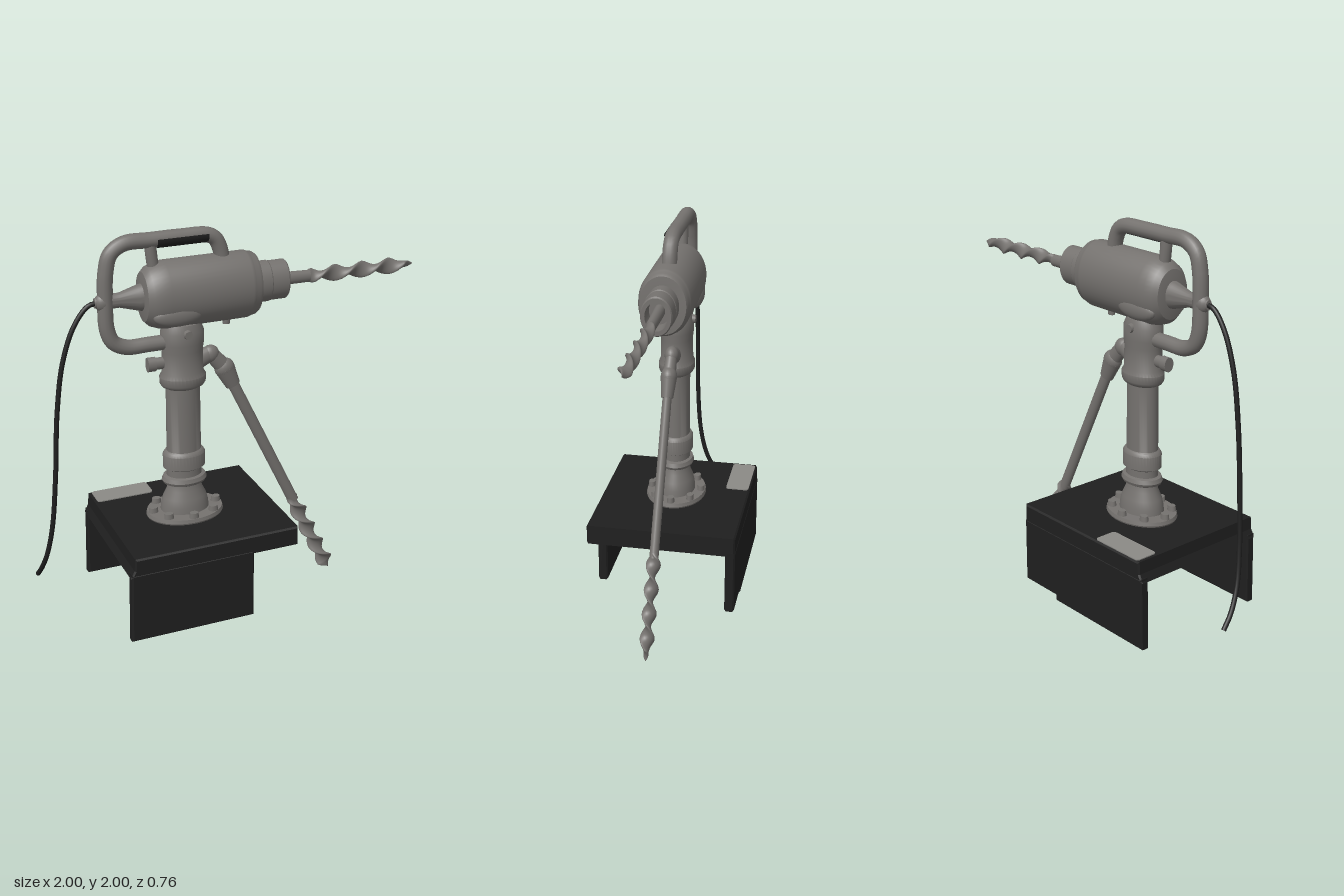
import * as THREE from 'three';
import { toCreasedNormals, mergeVertices } from 'three/addons/utils/BufferGeometryUtils.js';

const V = (x, y, z = 0) => new THREE.Vector3(x, y, z);
const SQUASH = 0.78; // the machine is narrower in depth than in width

export function createModel() {
  const metal = new THREE.MeshStandardMaterial({ color: 0x75726f });
  metal.name = 'grey metal';
  const black = new THREE.MeshStandardMaterial({ color: 0x1f1f1f, side: THREE.DoubleSide });
  black.name = 'black';
  const pale = new THREE.MeshStandardMaterial({ color: 0x8b8a86 });
  pale.name = 'pale plate';

  const model = new THREE.Group();
  model.name = 'drillOnStand';
  const machine = new THREE.Group();
  machine.name = 'machine';
  machine.scale.z = SQUASH;
  model.add(machine);

  const add = (parent, name, geo, mat = metal) => {
    const mesh = new THREE.Mesh(geo, mat);
    mesh.name = name;
    parent.add(mesh);
    return mesh;
  };
  const lathe = (pts) => toCreasedNormals(
    new THREE.LatheGeometry(pts.map(([r, y]) => new THREE.Vector2(r, y)), 40), 0.6);
  // Lay a part built along +y between two points
  const aim = (mesh, from, to) => {
    mesh.position.copy(from);
    mesh.quaternion.setFromUnitVectors(V(0, 1), to.clone().sub(from).normalize());
    return mesh;
  };
  const rod = (parent, name, from, to, r0, r1 = r0, mat = metal) => {
    const len = from.distanceTo(to);
    const geo = new THREE.CylinderGeometry(r1, r0, len, 24).translate(0, len / 2, 0);
    return aim(add(parent, name, geo, mat), from, to);
  };
  const tube = (parent, name, pts, r, mat = metal, tension = 0.5) => {
    const curve = new THREE.CatmullRomCurve3(pts, false, 'centripetal', tension);
    return add(parent, name, new THREE.TubeGeometry(curve, 90, r, 14), mat);
  };
  // Flat oval bar twisted along its length, ending in a swollen point
  const twistBit = (name, from, to, halfTurns, wide) => {
    const len = from.distanceTo(to);
    let geo = new THREE.CylinderGeometry(1, 1, len, 20, 110).translate(0, len / 2, 0);
    geo.deleteAttribute('uv');
    geo.deleteAttribute('normal');
    geo = mergeVertices(geo);
    const p = geo.attributes.position;
    for (let i = 0; i < p.count; i++) {
      const t = p.getY(i) / len;
      const start = THREE.MathUtils.smoothstep(t, 0, 0.08);
      const tip = Math.min(1, Math.max(0.03, (1 - t) / 0.1));
      const u = p.getX(i) * THREE.MathUtils.lerp(0.028, wide, start) * tip;
      const v = p.getZ(i) * THREE.MathUtils.lerp(0.028, 0.018, start) * tip;
      const a = halfTurns * Math.PI * t, c = Math.cos(a), s = Math.sin(a);
      p.setX(i, u * c - v * s);
      p.setZ(i, u * s + v * c);
    }
    geo.computeVertexNormals();
    return aim(add(machine, name, geo), from, to);
  };

  // Base: lid with a short front panel and a stepped back panel
  const base = new THREE.Group();
  base.name = 'base';
  model.add(base);
  const panel = (name, pts, depth, z) => {
    const shape = new THREE.Shape(pts.map(([x, y]) => new THREE.Vector2(x, y)));
    const geo = new THREE.ExtrudeGeometry(shape, { depth: depth - 0.016, bevelThickness: 0.008,
      bevelSize: 0.008, bevelOffset: -0.008, bevelSegments: 1 }).translate(0, 0, z + 0.008);
    return add(base, name, geo, black);
  };
  panel('lid', [[-0.67, 0.42], [0.21, 0.42], [0.208, 0.522], [-0.645, 0.522], [-0.65, 0.46]], 0.76, -0.38);
  panel('frontPanel', [[-0.675, 0.07], [-0.03, 0.07], [-0.03, 0.44], [-0.665, 0.44]], 0.05, 0.332);
  panel('backPanel', [[-0.675, 0.07], [-0.03, 0.07], [-0.03, 0.1], [0.21, 0.1], [0.21, 0.44], [-0.665, 0.44]],
    0.05, -0.382);

  // Rounded pale plate on the lid
  const label = new THREE.Shape();
  const w = 0.15, h = 0.06, c = 0.02;
  label.moveTo(-w + c, -h).lineTo(w - c, -h).quadraticCurveTo(w, -h, w, -h + c);
  label.lineTo(w, h - c).quadraticCurveTo(w, h, w - c, h).lineTo(-w + c, h);
  label.quadraticCurveTo(-w, h, -w, h - c).lineTo(-w, -h + c).quadraticCurveTo(-w, -h, -w + c, -h);
  const plate = add(base, 'lidPlate', new THREE.ExtrudeGeometry(label, { depth: 0.006, bevelEnabled: false }), pale);
  plate.rotation.x = -Math.PI / 2;
  plate.position.set(-0.48, 0.521, -0.312);

  // Column with flange, rings and swivel head
  const column = add(machine, 'column', lathe([
    [0, 0.52], [0.195, 0.52], [0.2, 0.53], [0.195, 0.548], [0.125, 0.55], [0.122, 0.58], [0.112, 0.62],
    [0.092, 0.66], [0.085, 0.69], [0.108, 0.7], [0.116, 0.715], [0.108, 0.735], [0.09, 0.74], [0.09, 0.775],
    [0.108, 0.785], [0.108, 0.855], [0.098, 0.87], [0.088, 0.875], [0.086, 1.21], [0.105, 1.22], [0.115, 1.235],
    [0.117, 1.27], [0.105, 1.29], [0.102, 1.4], [0.108, 1.44], [0.108, 1.5], [0.09, 1.54], [0, 1.56],
  ]));
  column.position.x = -0.25;
  for (let i = 0; i < 8; i++) {
    const a = (i / 8) * Math.PI * 2;
    const p = V(-0.25 + Math.cos(a) * 0.168, 0.54, Math.sin(a) * 0.168);
    rod(machine, 'flangeBolt', p, p.clone().add(V(0, 0.035)), 0.026, 0.022);
  }

  // Pivot bolt and side knob on the head
  for (const s of [-1, 1]) {
    rod(machine, 'pivotBolt', V(-0.25, 1.5, s * 0.08), V(-0.25, 1.5, s * 0.122), 0.026, 0.02);
  }
  rod(machine, 'sideKnobStem', V(-0.4, 1.345), V(-0.3, 1.345), 0.03);
  rod(machine, 'sideKnob', V(-0.43, 1.345), V(-0.39, 1.345), 0.036);

  // Strut: bracket, clamp, rod and twisted ground spike
  rod(machine, 'strutBracket', V(-0.18, 1.33), V(-0.1, 1.36), 0.05, 0.04);
  add(machine, 'strutJoint', new THREE.SphereGeometry(0.045, 20, 14)).position.set(-0.105, 1.355, 0);
  rod(machine, 'strutLink', V(-0.11, 1.365), V(-0.03, 1.27), 0.036, 0.042);
  add(machine, 'strutElbow', new THREE.SphereGeometry(0.052, 20, 14)).position.set(-0.03, 1.27, 0);
  rod(machine, 'strutSocket', V(-0.03, 1.27), V(0.015, 1.175), 0.052, 0.038);
  rod(machine, 'strutRod', V(0, 1.21), V(0.36, 0.46), 0.029);
  twistBit('groundSpike', V(0.345, 0.49), V(0.582, 0.003), 4.5, 0.047);

  // Motor housing, chuck and rear boss, turned along x
  const turned = (name, pts) => {
    const mesh = add(machine, name, lathe(pts));
    mesh.rotation.z = -Math.PI / 2;
    mesh.position.y = 1.69;
    return mesh;
  };
  turned('housing', [[0, -0.455], [0.09, -0.45], [0.12, -0.445], [0.145, -0.42], [0.16, -0.38], [0.166, -0.34],
    [0.166, 0.07], [0.162, 0.085], [0.158, 0.09], [0.156, 0.11], [0.145, 0.125], [0.098, 0.128], [0, 0.128]]);
  turned('chuck', [[0.08, 0.1], [0.102, 0.125], [0.102, 0.19], [0.098, 0.195], [0.098, 0.28], [0.092, 0.287],
    [0.07, 0.287], [0.065, 0.2], [0, 0.2]]);
  turned('rearBoss', [[0, -0.6], [0.036, -0.6], [0.036, -0.56], [0.062, -0.47], [0.068, -0.44]]);
  add(machine, 'cableKnob', new THREE.SphereGeometry(0.046, 20, 14)).position.set(-0.635, 1.69, 0);
  rod(machine, 'cableCollar', V(-0.68, 1.69), V(-0.63, 1.69), 0.024, 0.034);

  // Low side covers and lower screw on the housing
  for (const s of [-1, 1]) {
    const cover = add(machine, 'sideCover', new THREE.SphereGeometry(1, 28, 16));
    cover.scale.set(0.125, 0.055, 0.045);
    cover.position.set(-0.3, 1.61, s * 0.118);
  }
  rod(machine, 'lowerScrew', V(-0.02, 1.55), V(-0.02, 1.5), 0.024, 0.018);

  // Drill bit
  rod(machine, 'bitShank', V(0.19, 1.69), V(0.42, 1.685), 0.034, 0.03);
  twistBit('drillBit', V(0.4, 1.686), V(1, 1.68), 4, 0.042);

  // Loop handle and front carrying grip
  tube(model, 'loopHandle', [V(-0.28, 1.45), V(-0.42, 1.45), V(-0.53, 1.452), V(-0.595, 1.485), V(-0.623, 1.55),
    V(-0.627, 1.7), V(-0.62, 1.83), V(-0.595, 1.915), V(-0.53, 1.957), V(-0.4, 1.96), V(-0.25, 1.96),
    V(-0.12, 1.955), V(-0.08, 1.935), V(-0.055, 1.89), V(-0.035, 1.8)], 0.037);
  tube(model, 'gripPost', [V(-0.4, 1.95), V(-0.397, 1.9), V(-0.385, 1.8)], 0.028);

  // Dark insert on the lower front of the grip
  const insert = add(model, 'gripInsert',
    new THREE.CylinderGeometry(0.0405, 0.0405, 0.255, 16, 1, true, -0.2, 1.9), black);
  insert.rotation.set(0, 0, -Math.PI / 2);
  insert.position.set(-0.248, 1.96, 0);

  // Power cable
  tube(model, 'cable', [V(-0.66, 1.69), V(-0.71, 1.68), V(-0.78, 1.595), V(-0.845, 1.42), V(-0.885, 1.17),
    V(-0.91, 0.85), V(-0.935, 0.58, -0.015), V(-0.96, 0.41, -0.05), V(-0.98, 0.3, -0.105), V(-0.99, 0.235, -0.16)],
  0.012, black);

  return model;
}
